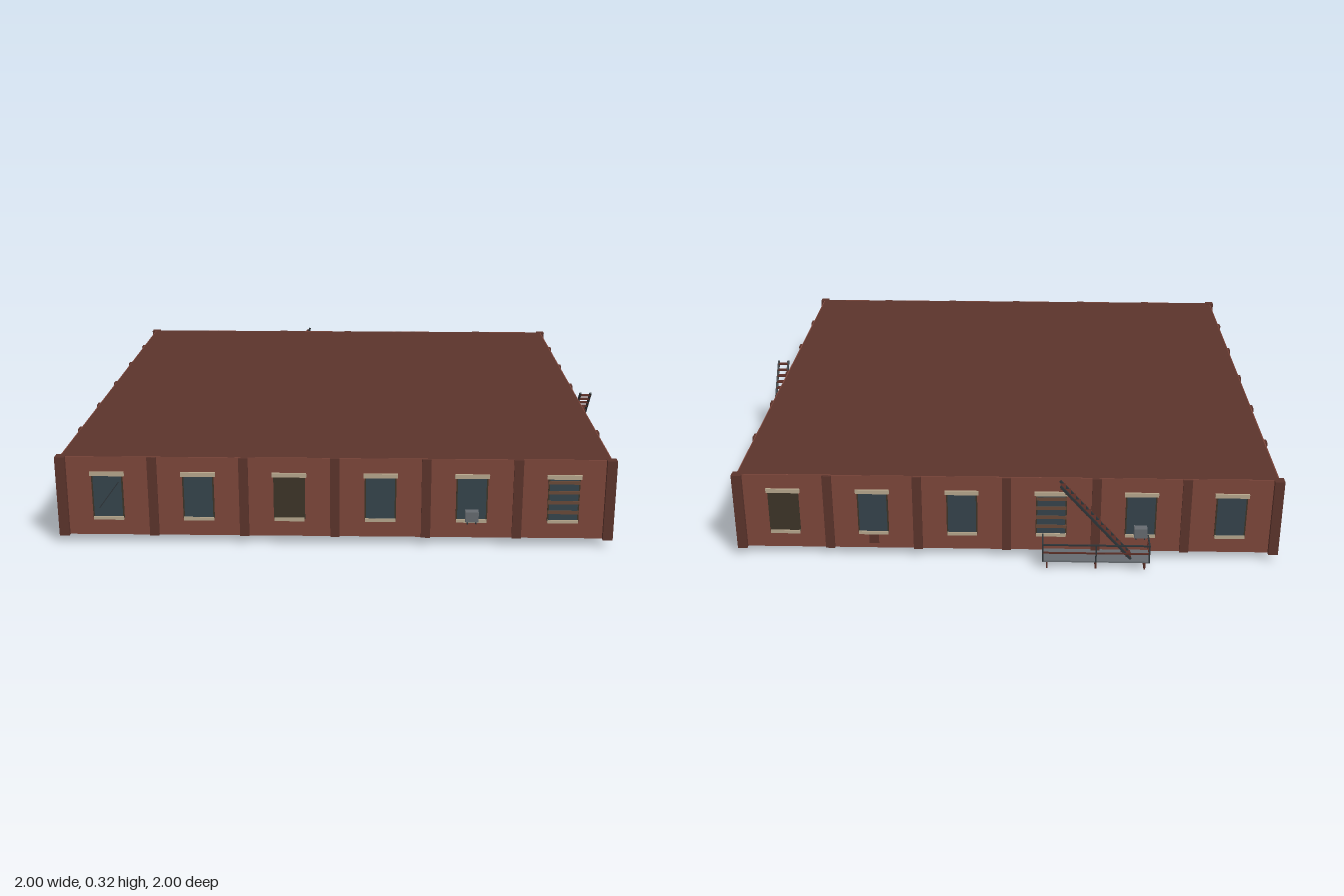
import * as THREE from 'three';

const material = (name, color, extra = {}) => {
  const m = new THREE.MeshStandardMaterial({ color, ...extra });
  m.name = name;
  return m;
};
const brick = material('brick', 0x7d473b);
const trim = material('darkBrick', 0x5c342c);
const glass = material('glass', 0x36444c);
const olive = material('darkInterior', 0x3d3528);
const stone = material('paleStone', 0xb8a88e);
const metal = material('greyMetal', 0x666b70);
const iron = material('darkIron', 0x2e3438);
const rust = material('rust', 0x5a2e26);
const wood = material('boards', 0x6a4a38);

const BAY = 0.3125, HALF = 0.9375, BASE = 0.03, TOP = 0.315;
const MID = (BASE + TOP) / 2, HEIGHT = TOP - BASE;

function box(parent, name, mat, w, h, d, x, y, z) {
  const mesh = new THREE.Mesh(new THREE.BoxGeometry(w, h, d), mat);
  mesh.name = name;
  mesh.position.set(x, y, z);
  parent.add(mesh);
  return mesh;
}

// Square bar between two points
function bar(parent, name, mat, from, to, size) {
  const a = new THREE.Vector3(...from), b = new THREE.Vector3(...to);
  const mesh = box(parent, name, mat, size, size, a.distanceTo(b), 0, 0, 0);
  mesh.position.copy(a).add(b).multiplyScalar(0.5);
  mesh.lookAt(b);
  return mesh;
}

function airConditioner(parent) {
  box(parent, 'airConditioner', metal, 0.045, 0.036, 0.035, 0, 0.117, 0.0175);
  for (const s of [-1, 1]) {
    box(parent, 'airConditionerBracket', iron, 0.004, 0.012, 0.024, s * 0.015, 0.093, 0.012);
  }
}

// Window kinds: glass, dark, boarded, cooler, cracked, rod
function makeWindow(kind, patched) {
  const g = new THREE.Group();
  g.name = kind + 'Window';
  box(g, 'windowFrame', olive, 0.108, 0.16, 0.004, 0, 0.174, 0.003);
  box(g, 'windowPane', kind === 'dark' ? olive : glass, 0.098, 0.15, 0.004, 0, 0.174, 0.004);
  box(g, 'lintel', stone, 0.118, 0.015, 0.009, 0, 0.254, 0.0045);
  box(g, 'sill', stone, 0.104, 0.012, 0.01, 0, 0.093, 0.005);
  if (kind === 'boarded') {
    for (let i = 0; i < 4; i++) box(g, 'board', wood, 0.106, 0.012, 0.004, 0, 0.127 + i * 0.036, 0.007);
  }
  if (kind === 'cooler') airConditioner(g);
  if (kind === 'cracked') bar(g, 'crack', iron, [-0.03, 0.13, 0.0065], [0.04, 0.225, 0.0065], 0.003);
  if (kind === 'rod') bar(g, 'rod', iron, [0, 0.17, 0.004], [0, 0.225, 0.033], 0.003);
  if (patched) box(g, 'wallPatch', trim, 0.034, 0.035, 0.004, 0, 0.067, 0.003);
  return g;
}

function fireEscape() {
  const g = new THREE.Group();
  g.name = 'fireEscape';
  const L = 0.1875, D = 0.083;
  box(g, 'platform', metal, 2 * L, 0.006, D, 0, 0.031, D / 2);
  for (const x of [-0.17, 0, 0.17]) {
    box(g, 'bracket', rust, 0.006, 0.024, D - 0.004, x, 0.013, D / 2 - 0.002);
  }
  // Railing
  for (const x of [-L + 0.003, 0, L - 0.003]) {
    bar(g, 'railPost', iron, [x, 0.03, D], [x, 0.097, D], 0.005);
  }
  for (const [y, mat] of [[0.096, iron], [0.065, rust]]) {
    bar(g, 'rail', mat, [-L, y, D], [L, y, D], 0.005);
    for (const s of [-1, 1]) bar(g, 'endRail', mat, [s * (L - 0.003), y, 0], [s * (L - 0.003), y, D], 0.005);
  }
  // Steep stair with treads between two stringers
  const high = [-0.127, 0.315], low = [0.122, 0.034];
  for (const z of [0.025, 0.065]) {
    bar(g, 'stringer', iron, [...high, z], [...low, z], 0.008);
  }
  for (let i = 0; i < 14; i++) {
    const t = (i + 0.5) / 14;
    box(g, 'tread', rust, 0.018, 0.005, 0.04,
      high[0] + t * (low[0] - high[0]), high[1] + t * (low[1] - high[1]), 0.045);
  }
  return g;
}

// One wall, with x running right as seen from outside and z pointing outward
function facade(name, kinds, patches = [], escapeX = null) {
  const g = new THREE.Group();
  g.name = name;
  const front = new THREE.Group();
  front.name = 'wallFront';
  front.position.z = HALF;
  g.add(front);
  box(front, 'brickWall', brick, 2 * HALF, HEIGHT, 0.004, 0, MID, 0);
  kinds.forEach((kind, i) => {
    const w = makeWindow(kind, patches.includes(i));
    w.position.x = (i - 2.5) * BAY;
    front.add(w);
    if (i > 0) box(front, 'pilaster', trim, 0.032, HEIGHT, 0.01, (i - 3) * BAY, MID, 0.005);
  });
  if (escapeX !== null) {
    const e = fireEscape();
    e.position.x = escapeX;
    front.add(e);
  }
  return g;
}

export function createModel() {
  const model = new THREE.Group();
  model.name = 'buildingFloor';
  const body = new THREE.Group();
  body.name = 'building';
  body.position.set(-0.0265, 0, 0.0225);
  model.add(body);

  // Core with roof and underside
  box(body, 'core', trim, 2 * HALF - 0.002, HEIGHT, 2 * HALF - 0.002, 0, MID, 0);
  for (const x of [-1, 1]) for (const z of [-1, 1]) {
    box(body, 'cornerPillar', trim, 0.034, HEIGHT + 0.002, 0.034, x * HALF, MID, z * HALF);
  }

  // Four walls, turned from front to right, back and left
  const walls = [
    facade('frontWall', ['cracked', 'glass', 'dark', 'glass', 'cooler', 'boarded']),
    facade('rightWall', ['dark', 'glass', 'cooler', 'boarded', 'rod', 'glass'], [0, 5], 0),
    facade('backWall', ['dark', 'glass', 'glass', 'boarded', 'cooler', 'glass'], [1], BAY),
    facade('leftWall', ['rod', 'glass', 'cooler', 'glass', 'dark', 'glass']),
  ];
  walls.forEach((wall, i) => {
    wall.rotation.y = i * Math.PI / 2;
    body.add(wall);
  });
  return model;
}
